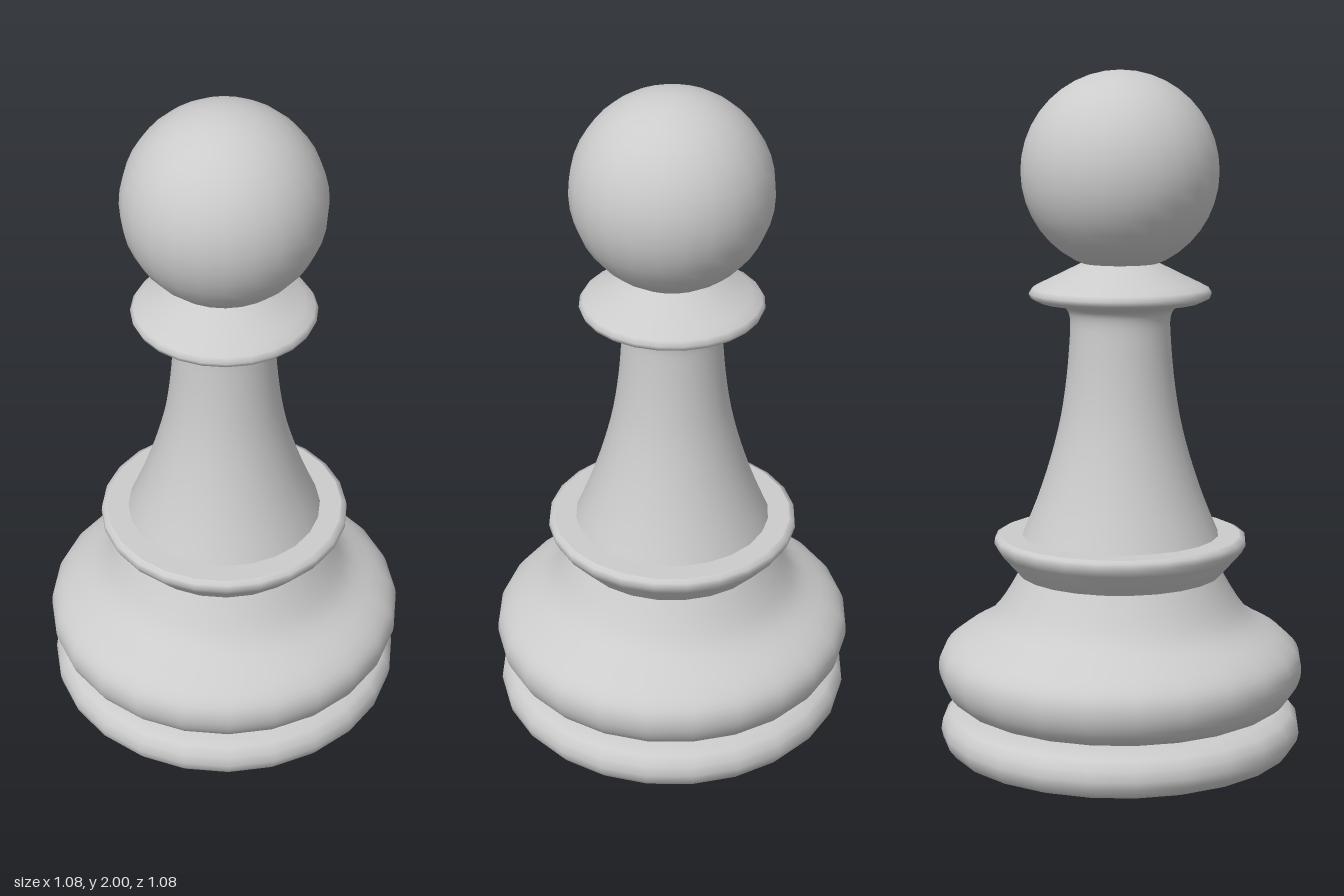
import * as THREE from 'three';

const SIDES = 24;
const material = new THREE.MeshStandardMaterial({ color: 0xcccccc });

// Turns a [radius, height] profile, listed from bottom to top, around the y axis.
function turned(name, profile, smoothSteps = 0) {
  let points = profile.map(([r, y]) => new THREE.Vector2(r, y));
  if (smoothSteps) points = new THREE.SplineCurve(points).getPoints(smoothSteps);
  const mesh = new THREE.Mesh(new THREE.LatheGeometry(points, SIDES), material);
  mesh.name = name;
  return mesh;
}

export function createModel() {
  const pawn = new THREE.Group();
  pawn.name = 'pawn';

  // Foot: flat underside and a rounded ring
  pawn.add(turned('underside', [[0, 0], [0.475, 0]]));
  pawn.add(turned('footRing', [
    [0.475, 0], [0.51, 0.014], [0.53, 0.04], [0.535, 0.065],
    [0.53, 0.095], [0.51, 0.12], [0.475, 0.133], [0.43, 0.138],
  ]));

  // Bulging body sweeping up to the waist
  pawn.add(turned('body', [
    [0.43, 0.138], [0.49, 0.16], [0.525, 0.2], [0.54, 0.25], [0.53, 0.3],
    [0.485, 0.345], [0.4, 0.395], [0.35, 0.45], [0.3, 0.535],
  ], 24));

  // Flared waist ring with a flat top
  pawn.add(turned('waistRing', [
    [0.3, 0.535], [0.36, 0.603], [0.372, 0.625], [0.37, 0.643], [0.355, 0.65],
  ]));
  pawn.add(turned('waistTop', [[0.355, 0.65], [0.285, 0.65]]));

  // Tapered stem curving out beneath the collar
  pawn.add(turned('stem', [
    [0.29, 0.65], [0.245, 0.76], [0.205, 0.88], [0.175, 1.0], [0.157, 1.12],
    [0.147, 1.24], [0.147, 1.29], [0.158, 1.317], [0.185, 1.33],
  ], 24));

  // Thin collar rising to the neck
  pawn.add(turned('collar', [
    [0.185, 1.33], [0.235, 1.337], [0.26, 1.349], [0.266, 1.363],
    [0.257, 1.377], [0.23, 1.391], [0.17, 1.42], [0.11, 1.45], [0.09, 1.455],
  ]));

  // Ball head
  const head = new THREE.Mesh(new THREE.SphereGeometry(0.287, SIDES, 20), material);
  head.name = 'head';
  head.position.y = 1.713;
  pawn.add(head);

  return pawn;
}
